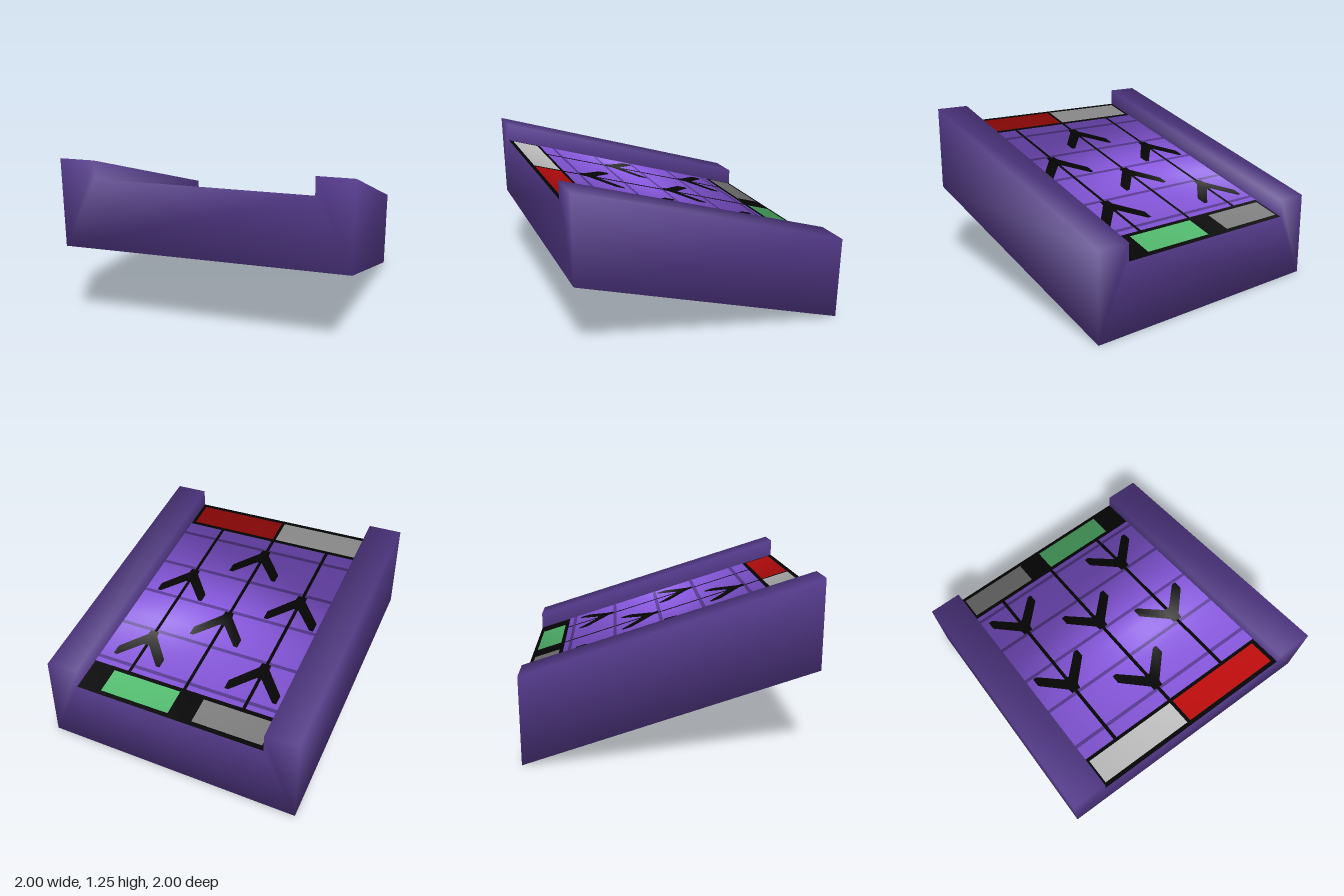
import * as THREE from 'three';

const SLOPE = 0.3125, FLOOR = 0.8125;
const mat = (name, color) => new THREE.MeshStandardMaterial({ name, color });

// Cross-section of the sloping channel, counter-clockwise from the front
const PROFILE = [[-1, 0.3125], [1, 0.3125], [1, 0.9375], [0.75, 0.9375],
  [0.75, FLOOR], [-0.75, FLOOR], [-0.75, 0.9375], [-1, 0.9375]];

// Channel body: the cross-section sheared along z, with soft angle-weighted normals
function channelGeometry() {
  const n = PROFILE.length, points = [], index = [], floor = [];
  for (const z of [1, -1]) {
    for (const [x, y] of PROFILE) points.push(new THREE.Vector3(x, y + SLOPE * z, z));
  }
  for (let i = 0; i < n; i++) {
    const j = (i + 1) % n;
    (i === 4 ? floor : index).push(i, i + n, j + n, i, j + n, j);
  }
  const caps = THREE.ShapeUtils.triangulateShape(PROFILE.map(p => new THREE.Vector2(...p)), []);
  for (const [a, b, c] of caps) index.push(a, b, c, a + n, c + n, b + n);
  const bodyCount = index.length;
  index.push(...floor);

  const normals = points.map(() => new THREE.Vector3());
  for (let t = 0; t < index.length; t += 3) {
    const tri = index.slice(t, t + 3);
    const face = new THREE.Triangle(...tri.map(i => points[i])).getNormal(new THREE.Vector3());
    tri.forEach((v, k) => {
      const e1 = points[tri[(k + 1) % 3]].clone().sub(points[v]);
      const e2 = points[tri[(k + 2) % 3]].clone().sub(points[v]);
      normals[v].addScaledVector(face, e1.angleTo(e2));
    });
  }
  normals.forEach(v => v.normalize());

  const geometry = new THREE.BufferGeometry().setFromPoints(points);
  geometry.setAttribute('normal', new THREE.Float32BufferAttribute(normals.flatMap(v => v.toArray()), 3));
  geometry.setIndex(index);
  geometry.addGroup(0, bodyCount, 0);
  geometry.addGroup(bodyCount, floor.length, 1);
  return { geometry, normals };
}

export function createModel() {
  const group = new THREE.Group();
  const body = mat('dark purple', 0x533989);
  const black = mat('black', 0x060606);
  const purple = mat('bright purple', 0x8657dc);
  const groove = mat('groove purple', 0x5a3b95);
  const lightGrey = mat('light grey', 0xc8c8c8);
  const grey = mat('grey', 0x868686);
  const green = mat('green', 0x59c676);
  const red = mat('red', 0xc10d0d);

  const { geometry, normals } = channelGeometry();
  const channel = new THREE.Mesh(geometry, [body, black]);
  channel.name = 'channelBody';
  group.add(channel);

  // Lay a flat shape on the sloping floor, sharing the floor's soft shading
  function lay(name, flat, material, lift) {
    flat.rotateX(-Math.PI / 2);
    const p = flat.attributes.position;
    const front = new THREE.Vector3(), back = new THREE.Vector3();
    for (let i = 0; i < p.count; i++) {
      const x = p.getX(i), z = p.getZ(i), u = (x + 0.75) / 1.5;
      p.setY(i, FLOOR + SLOPE * z + lift);
      front.lerpVectors(normals[5], normals[4], u);
      back.lerpVectors(normals[13], normals[12], u);
      back.lerp(front, (z + 1) / 2).normalize();
      flat.attributes.normal.setXYZ(i, back.x, back.y, back.z);
    }
    const mesh = new THREE.Mesh(flat, material);
    mesh.name = name;
    group.add(mesh);
  }
  function layRect(name, x0, x1, z0, z1, material, lift) {
    const flat = new THREE.PlaneGeometry(x1 - x0, z1 - z0, 6, 12);
    flat.translate((x0 + x1) / 2, -(z0 + z1) / 2, 0);
    lay(name, flat, material, lift);
  }

  // Lane panels with black gaps between them, crossed by darker grooves
  for (const [x0, x1] of [[-0.75, -0.5], [-0.475, -0.03], [-0.005, 0.435], [0.46, 0.75]]) {
    layRect('lanePanel', x0, x1, -0.755, 0.755, purple, 0.002);
    for (const z of [-0.705, -0.365, -0.02, 0.295, 0.64]) {
      layRect('laneGroove', x0, x1, z - 0.013, z + 0.013, groove, 0.004);
    }
  }

  // Coloured end bars
  layRect('backGreyBar', -0.725, -0.19, -0.97, -0.785, grey, 0.003);
  layRect('backGreenBar', 0, 0.56, -0.97, -0.785, green, 0.003);
  layRect('frontGreyBar', -0.725, -0.03, 0.78, 0.97, lightGrey, 0.003);
  layRect('frontRedBar', -0.005, 0.72, 0.78, 0.97, red, 0.003);

  // Chevrons pointing to the front, half outline mirrored
  const half = [[0.02, -0.13], [0.17, -0.28], [0.2, -0.28], [0.2, -0.21], [0.04, -0.04], [0.035, 0]];
  const outline = [...half, ...half.map(([x, z]) => [-x, z]).reverse()];
  for (const [cx, cz] of [[-0.485, -0.375], [0.45, -0.375], [-0.015, -0.03],
    [-0.485, 0.28], [0.45, 0.28], [-0.015, 0.635]]) {
    const shape = new THREE.Shape(outline.map(([x, z]) => new THREE.Vector2(cx + x, -(cz + z))));
    lay('chevron', new THREE.ShapeGeometry(shape), black, 0.006);
  }
  return group;
}
